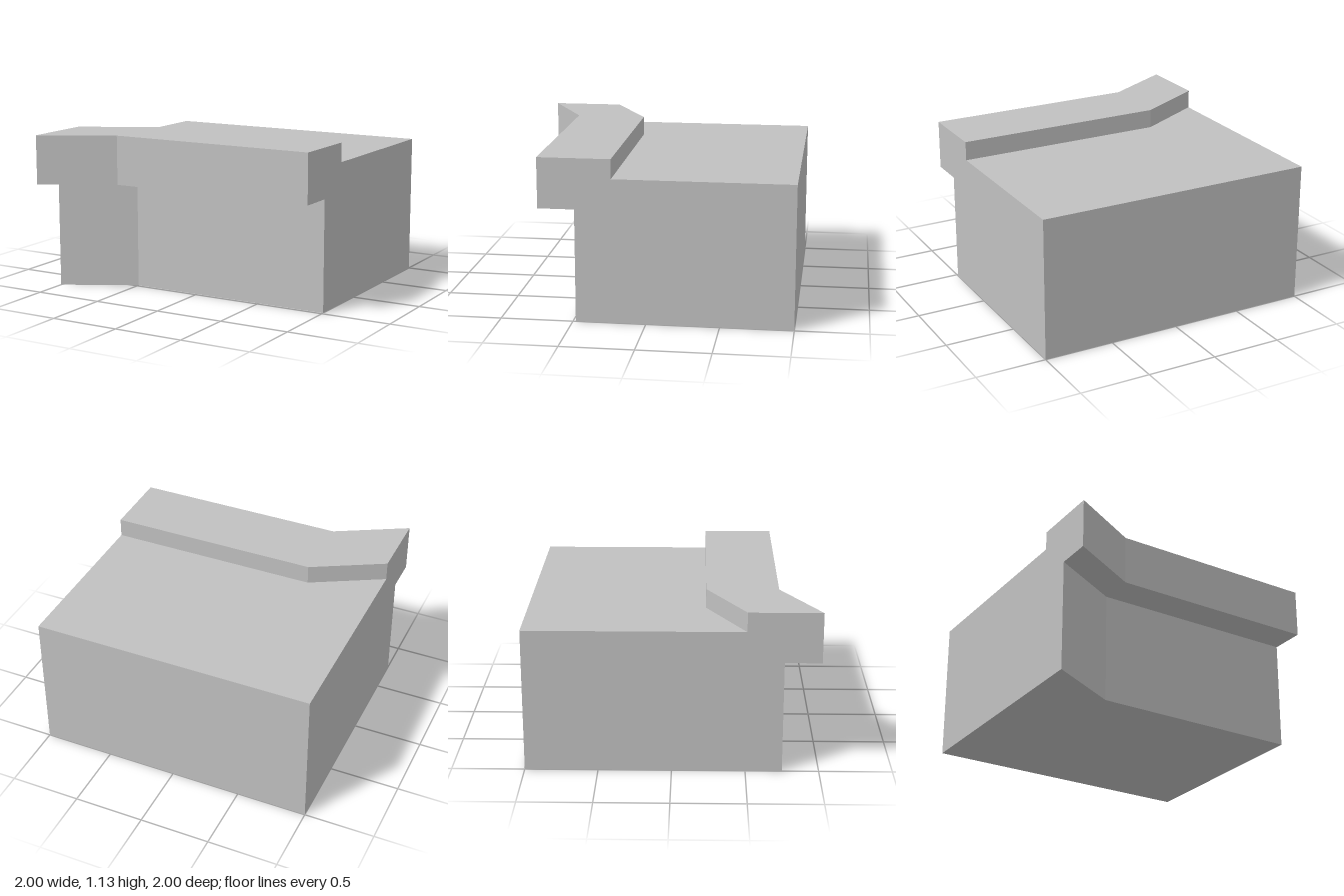
import * as THREE from 'three';

export function createModel() {
  const group = new THREE.Group();
  group.name = 'steppedBlock';

  const grey = new THREE.MeshStandardMaterial({ color: 0xc0c0c0 });
  grey.name = 'plain grey';

  // side profile as [z, y]: block with an overhanging, raised front lip
  const profile = [
    [-1, 0], [0.48, 0], [0.48, 0.785], [0.73, 0.785],
    [0.73, 1.135], [0.23, 1.135], [0.23, 1], [-1, 1],
  ].map(([z, y]) => new THREE.Vector2(z, y));

  // sweep across the width, with a station at the bend (x = -0.5)
  const geometry = new THREE.ExtrudeGeometry(new THREE.Shape(profile), {
    depth: 2, steps: 4, bevelEnabled: false,
  });
  geometry.rotateY(-Math.PI / 2).translate(1, 0, 0);

  // the front and lip slant forward beyond the bend; the back stays straight
  const pos = geometry.attributes.position;
  for (let i = 0; i < pos.count; i++) {
    const slant = Math.max(0, -0.5 - pos.getX(i)) * 0.54;
    if (pos.getZ(i) > 0) pos.setZ(i, pos.getZ(i) + slant);
  }
  geometry.computeVertexNormals();

  const body = new THREE.Mesh(geometry, grey);
  body.name = 'blockWithFrontLip';
  group.add(body);
  return group;
}
